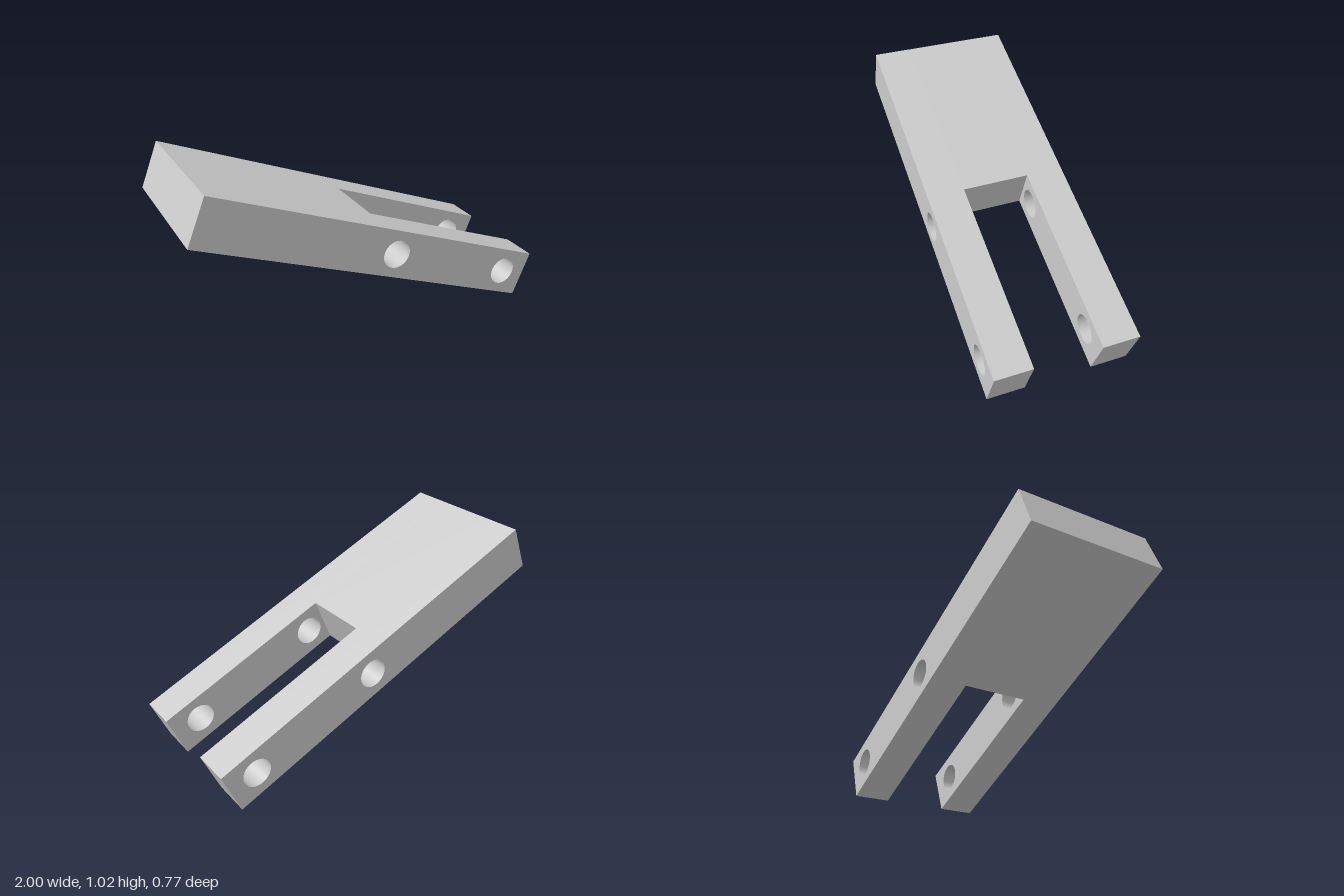
import * as THREE from 'three';

const TILT = THREE.MathUtils.degToRad(22.2);
const HALF_LENGTH = 1.027, HALF_THICK = 0.13;
const OUTER_Z = 0.384, SLOT_Z = 0.182; // half widths of the plate and of its slot
const SLOT_START = -0.005;             // where the slot begins along the plate
const HOLES = [0.099, 0.87], HOLE_RADIUS = 0.078;

// Slab with a rectangular side profile, optional cross holes, spanning z0 to z1
function slab(name, start, end, z0, z1, holes, material) {
  const shape = new THREE.Shape();
  shape.moveTo(start, -HALF_THICK);
  shape.lineTo(end, -HALF_THICK);
  shape.lineTo(end, HALF_THICK);
  shape.lineTo(start, HALF_THICK);
  shape.closePath();
  for (const x of holes) {
    shape.holes.push(new THREE.Path().absarc(x, 0, HOLE_RADIUS, 0, Math.PI * 2, true));
  }
  const geometry = new THREE.ExtrudeGeometry(shape, {
    depth: z1 - z0, bevelEnabled: false, curveSegments: 32,
  });
  geometry.translate(0, 0, z0);
  const mesh = new THREE.Mesh(geometry, material);
  mesh.name = name;
  return mesh;
}

export function createModel() {
  const material = new THREE.MeshStandardMaterial({ color: 0xcccccc, flatShading: true });

  const bar = new THREE.Group();
  bar.name = 'forkedBar';
  // Two drilled side rails, joined by a solid web that stops at the slot
  bar.add(slab('frontRail', -HALF_LENGTH, HALF_LENGTH, SLOT_Z, OUTER_Z, HOLES, material));
  bar.add(slab('backRail', -HALF_LENGTH, HALF_LENGTH, -OUTER_Z, -SLOT_Z, HOLES, material));
  bar.add(slab('web', -HALF_LENGTH, SLOT_START, -SLOT_Z, SLOT_Z, [], material));

  // Tilt down toward +x and rest the lowest edge on the ground
  bar.rotation.z = -TILT;
  bar.position.y = HALF_LENGTH * Math.sin(TILT) + HALF_THICK * Math.cos(TILT);

  const model = new THREE.Group();
  model.name = 'tiltedFork';
  model.add(bar);
  return model;
}
